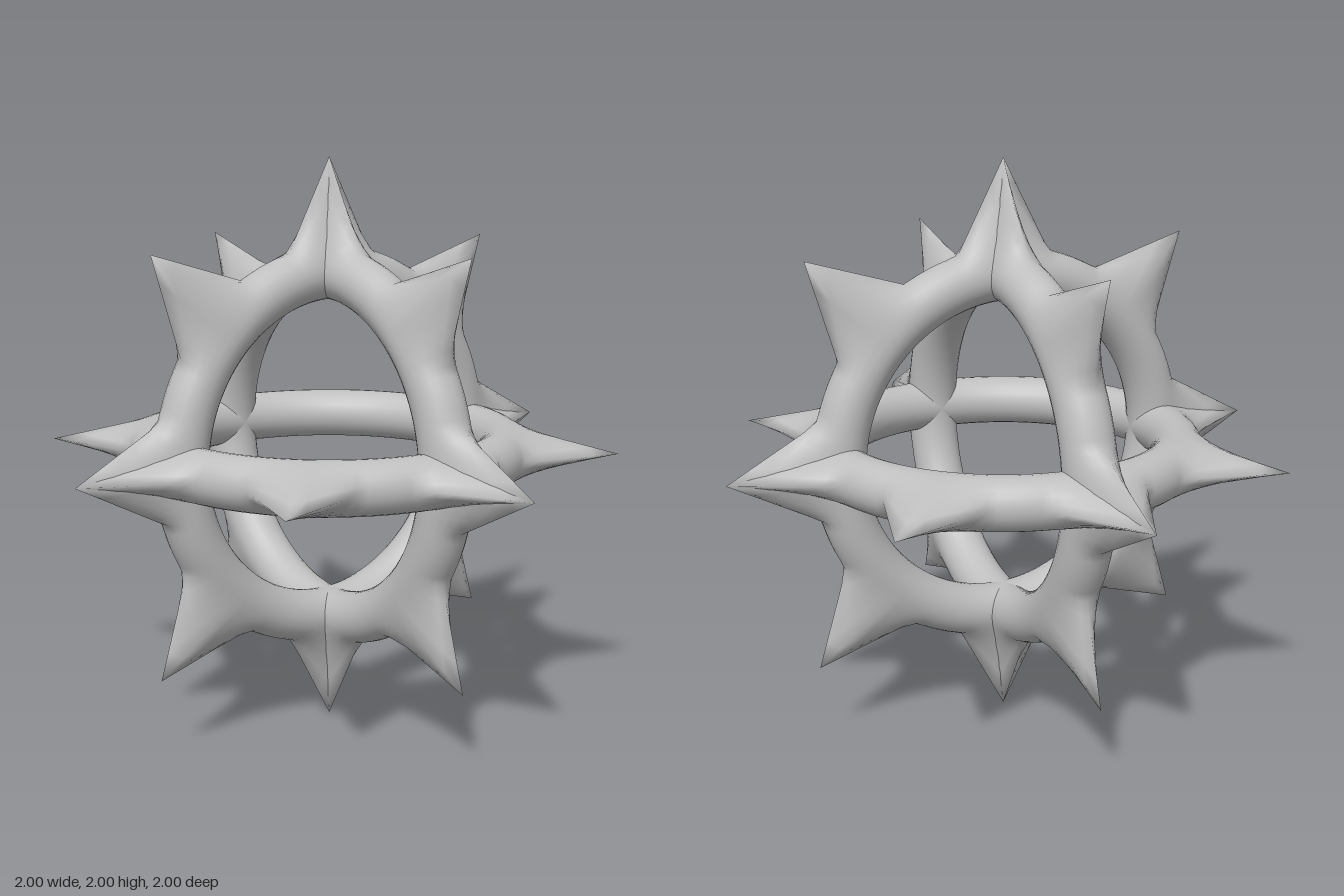
import * as THREE from 'three';
import { mergeVertices } from 'three/addons/utils/BufferGeometryUtils.js';

const RING = 0.61, TUBE = 0.09, SPIKES = 8, SLOPE = 1.86;

// A torus whose outer side is drawn out into eight sharp spikes of radius 1
function spikedRing() {
  let geo = new THREE.TorusGeometry(RING, TUBE, 24, 128);
  geo.deleteAttribute('uv');
  geo.deleteAttribute('normal');
  geo = mergeVertices(geo, 1e-5);
  const pos = geo.attributes.position;
  const step = (Math.PI * 2) / SPIKES;
  for (let i = 0; i < pos.count; i++) {
    const x = pos.getX(i), y = pos.getY(i), z = pos.getZ(i);
    const r = Math.hypot(x, y);
    if (r <= RING) continue;
    // Angle to the nearest spike, and the straight flank from its tip
    const angle = Math.atan2(y, x);
    const away = Math.abs(angle - Math.round(angle / step) * step);
    const flank = 1 / (Math.cos(away) + SLOPE * Math.sin(away));
    const lift = Math.max(0, flank - RING - TUBE);
    const taper = Math.pow(Math.max(0, 1 - Math.abs(z) / TUBE), 1.25);
    const k = (r + lift * taper) / r;
    pos.setXY(i, x * k, y * k);
  }
  geo.computeVertexNormals();
  return geo;
}

export function createModel() {
  const model = new THREE.Group();
  model.name = 'spikedRingSphere';
  const grey = new THREE.MeshStandardMaterial({ color: 0xbfbfbf });
  grey.name = 'grey';
  const geo = spikedRing();

  // Three rings at right angles, sharing their spikes on the axes
  const rings = [
    ['frontRing', 0, 0],
    ['sideRing', 0, Math.PI / 2],
    ['levelRing', Math.PI / 2, 0],
  ];
  for (const [name, rx, ry] of rings) {
    const ring = new THREE.Mesh(geo, grey);
    ring.name = name;
    ring.rotation.set(rx, ry, 0);
    ring.position.y = 1;
    model.add(ring);
  }
  return model;
}
